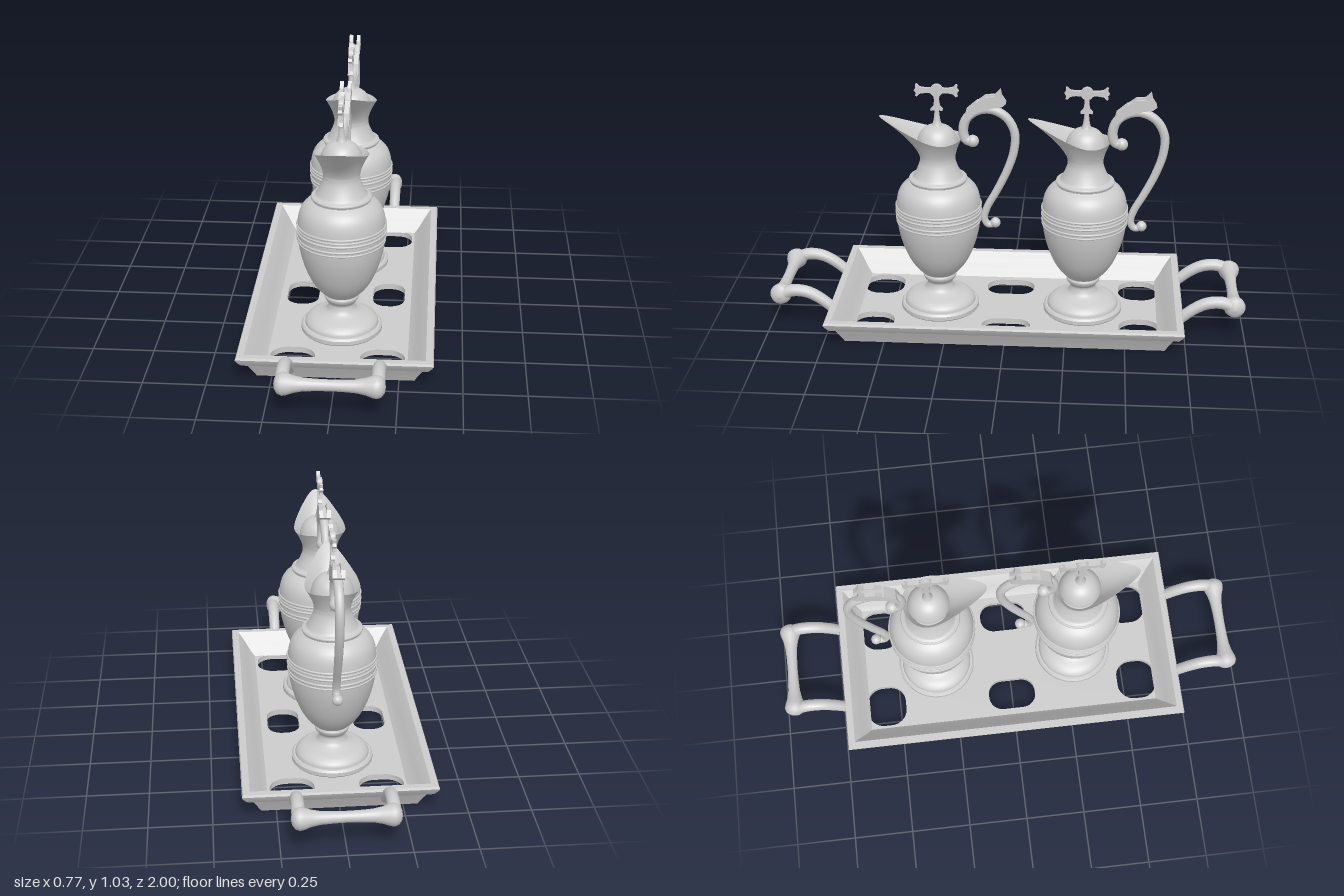
import * as THREE from 'three';
import { toCreasedNormals } from 'three/addons/utils/BufferGeometryUtils.js';
import { ParametricGeometry } from 'three/addons/geometries/ParametricGeometry.js';

const material = new THREE.MeshStandardMaterial({ color: 0xcccccc });
const thin = new THREE.MeshStandardMaterial({ color: 0xcccccc, side: THREE.DoubleSide });

function add(parent, name, geometry, mat = material) {
  const mesh = new THREE.Mesh(geometry, mat);
  mesh.name = name;
  parent.add(mesh);
  return mesh;
}

const v2 = pts => pts.map(p => new THREE.Vector2(...p));
const lathe = (pts, segments = 48) => new THREE.LatheGeometry(v2(pts), segments);
const smoothLathe = (pts, n = 40) => new THREE.LatheGeometry(new THREE.SplineCurve(v2(pts)).getPoints(n), 48);

// Tube through [z, y] points whose radius blends from r0 to r1
function taperTube(points, r0, r1, steps = 64) {
  const curve = new THREE.CatmullRomCurve3(points.map(([z, y]) => new THREE.Vector3(0, y, z)));
  const geo = new THREE.TubeGeometry(curve, steps, 1, 12);
  const pos = geo.attributes.position, v = new THREE.Vector3();
  for (let i = 0; i < pos.count; i++) {
    const t = Math.floor(i / 13) / steps, c = curve.getPointAt(t);
    v.fromBufferAttribute(pos, i).sub(c).multiplyScalar(r0 + (r1 - r0) * t).add(c);
    pos.setXYZ(i, v.x, v.y, v.z);
  }
  return geo;
}

// Side profile in [z, y], extruded symmetrically across x
function sideExtrude(points, width) {
  const geo = new THREE.ExtrudeGeometry(new THREE.Shape(v2(points.map(([z, y]) => [-z, y]))), { depth: width, bevelEnabled: false });
  return geo.translate(0, 0, -width / 2).rotateY(Math.PI / 2);
}

function roundedHole(cx, cy, hx, hy, r) {
  const p = new THREE.Path();
  const corners = [[1, 1], [-1, 1], [-1, -1], [1, -1]];
  corners.forEach(([sx, sy], i) => p.absarc(cx + sx * (hx - r), cy + sy * (hy - r), r, i * Math.PI / 2, (i + 1) * Math.PI / 2, false));
  p.closePath();
  return p;
}

// Mitred rectangular wall swept from a [halfWidth, y] profile
function trayWall() {
  const profile = [[0.31, 0], [0.322, 0.025], [0.338, 0.055], [0.346, 0.07], [0.364, 0.074], [0.379, 0.095], [0.385, 0.108],
    [0.381, 0.117], [0.354, 0.117], [0.346, 0.108], [0.32, 0.075], [0.3, 0.045], [0.28, 0.024]];
  const corners = [[1, 1], [1, -1], [-1, -1], [-1, 1]], out = [];
  const at = ([sx, sz], [h, y]) => [sx * h, y, sz * (h + 0.355)];
  for (let k = 0; k < 4; k++) for (let i = 0; i + 1 < profile.length; i++) {
    const a = corners[k], b = corners[(k + 1) % 4];
    const p = at(a, profile[i]), q = at(b, profile[i]), r = at(b, profile[i + 1]), s = at(a, profile[i + 1]);
    out.push(...p, ...q, ...r, ...p, ...r, ...s);
  }
  const geo = new THREE.BufferGeometry();
  geo.setAttribute('position', new THREE.Float32BufferAttribute(out, 3));
  return toCreasedNormals(geo, 0.7);
}

function createTray() {
  const tray = new THREE.Group();
  tray.name = 'tray';
  add(tray, 'trayWall', trayWall());

  // Floor pierced by six rounded openings
  const floor = new THREE.Shape(v2([[-0.31, -0.665], [0.31, -0.665], [0.31, 0.665], [-0.31, 0.665]]));
  for (const s of [-1, 1]) {
    floor.holes.push(roundedHole(s * 0.185, 0, 0.068, 0.103, 0.06));
    for (const e of [-1, 1]) floor.holes.push(roundedHole(s * 0.18, e * 0.56, 0.09, 0.085, 0.07));
  }
  add(tray, 'trayFloor', new THREE.ExtrudeGeometry(floor, { depth: 0.025, bevelEnabled: false, curveSegments: 8 }).rotateX(-Math.PI / 2));

  // End handles: two curved arms and a bone-shaped grip
  const half = [[0, 0.21], [0.022, 0.206], [0.038, 0.195], [0.045, 0.178], [0.042, 0.16], [0.033, 0.135], [0.026, 0.1], [0.023, 0.05]];
  const grip = [...half.map(([r, y]) => [r, -y]), [0.022, 0], ...half.slice().reverse()];
  for (const end of [0, 1]) {
    const handle = new THREE.Group();
    handle.name = end ? 'backTrayHandle' : 'frontTrayHandle';
    handle.rotation.y = end * Math.PI;
    for (const s of [-1, 1]) {
      const arm = taperTube([[0.68, 0.045], [0.73, 0.085], [0.785, 0.13], [0.84, 0.158], [0.9, 0.163], [0.95, 0.145]], 0.022, 0.027, 32);
      add(handle, 'handleArm', arm).position.x = s * 0.18;
    }
    const bar = add(handle, 'handleGrip', lathe(grip, 24).rotateZ(Math.PI / 2));
    bar.position.set(0, 0.142, 0.954);
    tray.add(handle);
  }
  return tray;
}

// Flared mouth drawn out to a pouring spout at +z
function mouth(u, v, target) {
  const a = u * Math.PI * 2, s = Math.sin(a), c = Math.cos(a);
  const f = Math.pow((1 + c) / 2, 4), w = Math.pow(v, 1.5);
  const rimX = 0.112 * s * (1 - 0.3 * f), rimZ = 0.105 * c + 0.135 * f;
  const rimY = 0.785 + 0.105 * Math.pow(f, 0.75) + 0.02 * Math.pow((1 - c) / 2, 2);
  target.set(0.074 * s + (rimX - 0.074 * s) * w, 0.715 + (rimY - 0.715) * v, 0.074 * c + (rimZ - 0.074 * c) * w);
}

function createCross() {
  const cross = new THREE.Group();
  cross.name = 'cross';
  // Stem rising from the lid
  add(cross, 'crossStem', smoothLathe([[0.024, 0.85], [0.016, 0.87], [0.011, 0.9], [0.009, 0.94], [0.011, 1.0]], 16));
  // Three flared arms
  const arm = [[0, -0.012], [0.045, -0.01], [0.068, -0.014], [0.08, -0.026], [0.087, -0.024], [0.085, -0.01],
    [0.092, 0], [0.085, 0.01], [0.087, 0.024], [0.08, 0.026], [0.068, 0.014], [0.045, 0.01], [0, 0.012]];
  for (let k = 0; k < 3; k++) {
    const m = add(cross, 'crossArm', sideExtrude(arm, 0.016));
    m.position.y = 1.005;
    m.rotation.x = k * Math.PI / 2;
  }
  const boss = add(cross, 'crossBoss', new THREE.CylinderGeometry(0.026, 0.026, 0.02, 20));
  boss.position.y = 1.005;
  boss.rotation.z = Math.PI / 2;
  return cross;
}

function createJug(name, z) {
  const jug = new THREE.Group();
  jug.name = name;
  jug.position.z = z;

  // Foot, body and neck
  add(jug, 'footBase', toCreasedNormals(lathe([[0, 0.022], [0.16, 0.022], [0.167, 0.03], [0.167, 0.046], [0.16, 0.054], [0.15, 0.055]]), 0.7));
  add(jug, 'foot', smoothLathe([[0.152, 0.052], [0.147, 0.07], [0.125, 0.088], [0.09, 0.1], [0.066, 0.113], [0.056, 0.13],
    [0.054, 0.147], [0.066, 0.162], [0.071, 0.176], [0.067, 0.186], [0.072, 0.192]], 44));
  add(jug, 'body', smoothLathe([[0.07, 0.187], [0.1, 0.218], [0.128, 0.262], [0.15, 0.315], [0.167, 0.375], [0.176, 0.435],
    [0.178, 0.49], [0.174, 0.535], [0.163, 0.568], [0.144, 0.592], [0.118, 0.61], [0.114, 0.613]], 56));
  add(jug, 'neck', smoothLathe([[0.118, 0.608], [0.12, 0.617], [0.115, 0.626], [0.105, 0.631], [0.097, 0.643], [0.084, 0.67],
    [0.075, 0.697], [0.074, 0.717]], 36));
  for (const [y, r, t] of [[0.433, 0.176, 0.004], [0.449, 0.177, 0.005], [0.474, 0.178, 0.005], [0.489, 0.178, 0.004], [0.503, 0.178, 0.005], [0.62, 0.116, 0.007]]) {
    add(jug, 'bandRing', new THREE.TorusGeometry(r, t, 8, 48).rotateX(Math.PI / 2)).position.y = y;
  }

  // Spouted mouth, domed lid and cross
  add(jug, 'spout', new ParametricGeometry(mouth, 64, 16), thin);
  add(jug, 'lid', smoothLathe([[0.086, 0.775], [0.083, 0.793], [0.072, 0.82], [0.055, 0.84], [0.03, 0.853], [0, 0.858]], 20), thin);
  jug.add(createCross());

  // Scrolled handle at the back
  add(jug, 'handle', taperTube([[-0.142, 0.785], [-0.118, 0.795], [-0.108, 0.835], [-0.122, 0.885], [-0.165, 0.92], [-0.225, 0.927],
    [-0.285, 0.895], [-0.32, 0.83], [-0.318, 0.75], [-0.29, 0.66], [-0.245, 0.565], [-0.205, 0.49],
    [-0.193, 0.44], [-0.21, 0.412], [-0.24, 0.418]], 0.021, 0.015, 90));
  add(jug, 'upperScroll', new THREE.SphereGeometry(0.026, 20, 14)).position.set(0, 0.787, -0.147);
  add(jug, 'lowerScroll', new THREE.SphereGeometry(0.022, 20, 14)).position.set(0, 0.421, -0.24);

  // Leaf crest with a forked tip
  add(jug, 'leaf', sideExtrude([[-0.108, 0.875], [-0.122, 0.925], [-0.165, 0.962], [-0.225, 0.98], [-0.25, 0.972],
    [-0.285, 0.958], [-0.27, 0.945], [-0.225, 0.937], [-0.16, 0.915], [-0.125, 0.88]], 0.046));
  for (const s of [-1, 1]) {
    add(jug, 'leafTip', sideExtrude([[-0.165, 0.958], [-0.2, 0.985], [-0.24, 0.988], [-0.262, 1.012], [-0.268, 0.985], [-0.285, 0.958], [-0.225, 0.965]], 0.016))
      .position.x = s * 0.016;
  }
  return jug;
}

export function createModel() {
  const model = new THREE.Group();
  model.name = 'jugsOnTray';
  model.add(createTray(), createJug('frontJug', 0.295), createJug('backJug', -0.32));
  return model;
}
